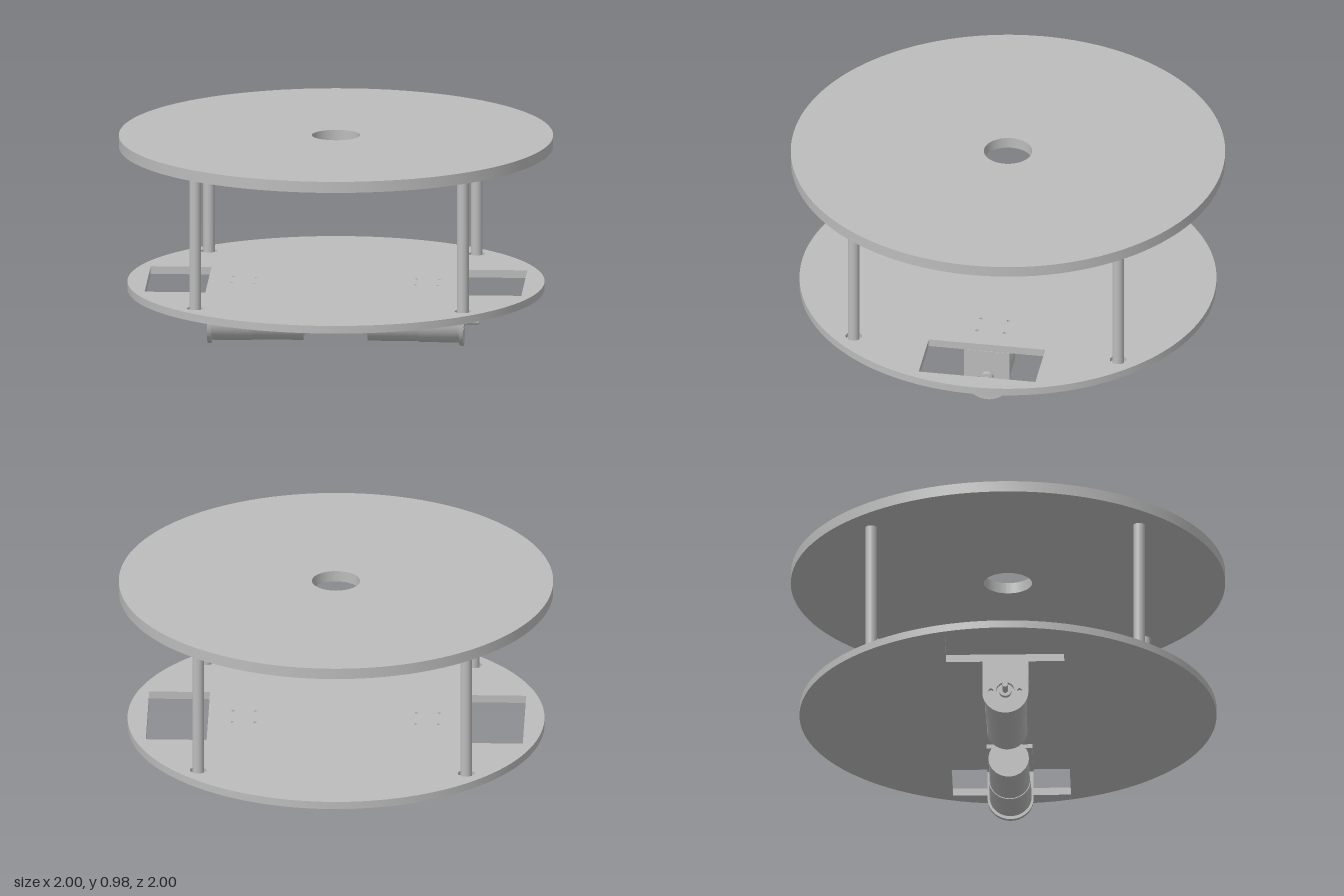
import * as THREE from 'three';
import { toCreasedNormals } from 'three/addons/utils/BufferGeometryUtils.js';

const grey = new THREE.MeshStandardMaterial({ color: 0xbcbcbc });
grey.name = 'plain grey';

const POST = 0.617;   // post offset in x and z
const AXIS = 0.112;   // motor axis height

function add(parent, name, geometry, x = 0, y = 0, z = 0) {
  const mesh = new THREE.Mesh(geometry, grey);
  mesh.name = name;
  mesh.position.set(x, y, z);
  parent.add(mesh);
  return mesh;
}

function circlePath(x, y, r) {
  return new THREE.Path().absarc(x, y, r, 0, Math.PI * 2, true);
}

function rectangle(Type, x0, y0, x1, y1) {
  const p = new Type();
  p.moveTo(x0, y0);
  p.lineTo(x1, y0);
  p.lineTo(x1, y1);
  p.lineTo(x0, y1);
  p.closePath();
  return p;
}

function extrude(shape, depth, curveSegments) {
  const g = new THREE.ExtrudeGeometry(shape, { depth, bevelEnabled: false, curveSegments });
  return toCreasedNormals(g, 0.6);
}

// Lying plate with its underside at y = 0
function flatPlate(shape, depth, curveSegments) {
  return extrude(shape, depth, curveSegments).rotateX(-Math.PI / 2);
}

function disc(radius) {
  return new THREE.Shape().absarc(0, 0, radius, 0, Math.PI * 2, false);
}

// The four screw positions under each side of the lower deck
function screwHoles(radius, side = 1) {
  const holes = [];
  for (const x of [0.37, 0.475])
    for (const z of [-0.064, 0.064]) holes.push(circlePath(side * x, z, radius));
  return holes;
}

// Lower deck layer: wheel slots, screw holes, and optional post sockets
function lowerDeckShape(withSockets) {
  const shape = disc(0.96);
  for (const s of [-1, 1]) {
    shape.holes.push(rectangle(THREE.Path, s * 0.588, -0.272, s * 0.868, 0.272));
    shape.holes.push(...screwHoles(0.008, s));
    if (withSockets)
      for (const t of [-1, 1]) shape.holes.push(circlePath(s * POST, t * POST, 0.038));
  }
  return shape;
}

// Cylinder along x from x0 to x1
function rod(parent, name, r, x0, x1) {
  const g = new THREE.CylinderGeometry(r, r, x1 - x0, 48).rotateZ(Math.PI / 2);
  return add(parent, name, g, (x0 + x1) / 2, AXIS, 0);
}

// Motor with its angle bracket, shaft pointing to +x
function motorUnit(name) {
  const unit = new THREE.Group();
  unit.name = name;

  // upright plate with a rounded lower end
  const w = 0.106;
  const face = new THREE.Shape();
  face.moveTo(w, 0.26);
  face.lineTo(-w, 0.26);
  face.lineTo(-w, w);
  face.absarc(0, w, w, Math.PI, Math.PI * 2, false);
  face.closePath();
  face.holes.push(circlePath(0, AXIS, 0.042));
  for (const s of [-1, 1]) face.holes.push(circlePath(s * 0.066, AXIS, 0.011));
  add(unit, 'bracketFace', extrude(face, 0.019, 24).rotateY(Math.PI / 2), 0.571, 0, 0);

  // flange screwed to the deck
  const flange = rectangle(THREE.Shape, 0.315, -w, 0.571, w);
  flange.holes.push(...screwHoles(0.017));
  add(unit, 'bracketFlange', flatPlate(flange, 0.02, 16), 0, 0.24, 0);

  // motor
  rod(unit, 'gearbox', 0.097, 0.385, 0.571);
  rod(unit, 'motorBody', 0.093, 0.148, 0.385);
  rod(unit, 'shaftBoss', 0.028, 0.571, 0.592);
  rod(unit, 'shaft', 0.013, 0.592, 0.66);
  add(unit, 'terminal', new THREE.BoxGeometry(0.027, 0.004, 0.016), 0.135, 0.19, 0);
  return unit;
}

export function createModel() {
  const model = new THREE.Group();
  model.name = 'roundRobotChassis';

  // upper deck with central hole
  const top = disc(1);
  top.holes.push(circlePath(0, 0, 0.111));
  add(model, 'upperDeck', flatPlate(top, 0.052, 64), 0, 0.932, 0);

  // lower deck in two layers, so the post sockets are blind
  add(model, 'lowerDeckBase', flatPlate(lowerDeckShape(false), 0.016, 64), 0, 0.26, 0);
  add(model, 'lowerDeckTop', flatPlate(lowerDeckShape(true), 0.02, 64), 0, 0.276, 0);

  // four posts between the decks
  const post = new THREE.CylinderGeometry(0.027, 0.027, 0.656, 32);
  for (const x of [-POST, POST])
    for (const z of [-POST, POST]) add(model, 'post', post, x, 0.604, z);

  // one motor on each side
  const left = motorUnit('leftMotor');
  const right = motorUnit('rightMotor');
  right.rotation.y = Math.PI;
  model.add(left, right);
  return model;
}
